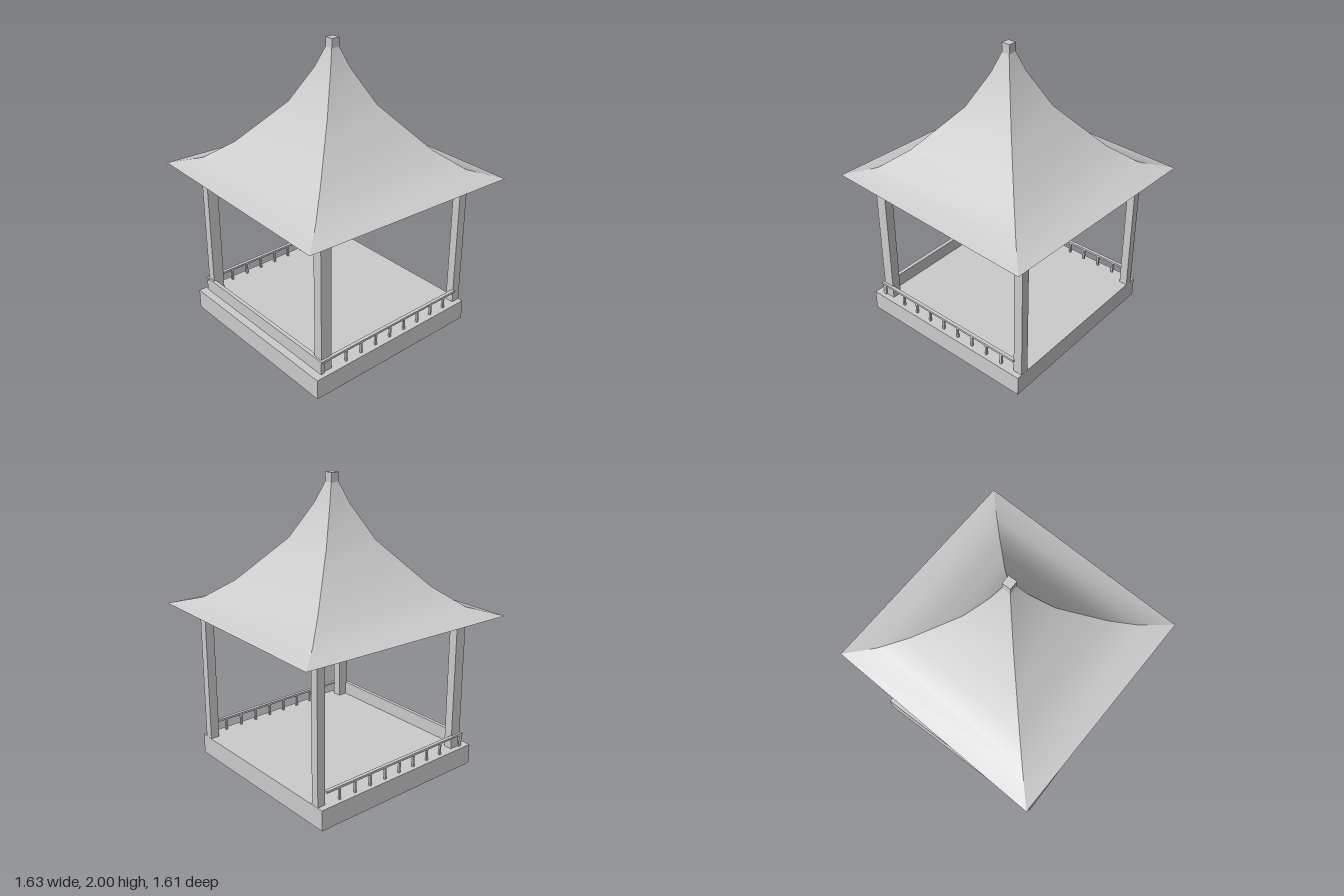
import * as THREE from 'three';

const material = new THREE.MeshStandardMaterial({ color: 0xcccccc });

// Box given by its minimum and maximum on each axis
function box(name, [x0, x1], [y0, y1], [z0, z1]) {
  const mesh = new THREE.Mesh(new THREE.BoxGeometry(x1 - x0, y1 - y0, z1 - z0), material);
  mesh.position.set((x0 + x1) / 2, (y0 + y1) / 2, (z0 + z1) / 2);
  mesh.name = name;
  return mesh;
}

// Eave corners (x, z), in order round the roof
const corners = [[-0.82, 0.755], [0.74, 0.8], [0.815, -0.76], [-0.74, -0.805]];
// Sweeping roof profile: scale of the eave outline, height
const profile = [[1, 1.1], [0.777, 1.152], [0.575, 1.28], [0.41, 1.43], [0.252, 1.575], [0.102, 1.805], [0.038, 1.94]];

// One smooth slope between two neighbouring corners
function roofSlope(a, b) {
  const positions = [], index = [];
  profile.forEach(([s, y], i) => {
    positions.push(a[0] * s, y, a[1] * s, b[0] * s, y, b[1] * s);
    if (i > 0) {
      const k = 2 * (i - 1);
      index.push(k, k + 1, k + 3, k, k + 3, k + 2);
    }
  });
  const geometry = new THREE.BufferGeometry();
  geometry.setAttribute('position', new THREE.Float32BufferAttribute(positions, 3));
  geometry.setIndex(index);
  geometry.computeVertexNormals();
  return new THREE.Mesh(geometry, material);
}

function createRoof() {
  const roof = new THREE.Group();
  roof.name = 'roof';
  corners.forEach((corner, i) => {
    const slope = roofSlope(corner, corners[(i + 1) % 4]);
    slope.name = 'roofSlope';
    roof.add(slope);
  });

  // Flat ceiling closing the roof from below
  const outline = new THREE.Shape(corners.map(([x, z]) => new THREE.Vector2(x, z)));
  const ceiling = new THREE.Mesh(new THREE.ShapeGeometry(outline).rotateX(Math.PI / 2), material);
  ceiling.position.y = 1.1;
  ceiling.name = 'ceiling';
  roof.add(ceiling);

  roof.add(box('finial', [-0.03, 0.03], [1.935, 2], [-0.03, 0.03]));
  return roof;
}

// Side railing: top rail on a row of thin balusters
function createRailing(side) {
  const railing = new THREE.Group();
  railing.name = side > 0 ? 'leftRailing' : 'rightRailing';
  const x = 0.62 * side;
  railing.add(box('rail', [x - 0.012, x + 0.012], [0.222, 0.237], [-0.57, 0.632]));
  for (let i = 0; i < 8; i++) {
    const z = 0.422 - i * 0.1265;
    railing.add(box('baluster', [x - 0.007, x + 0.007], [0.14, 0.224], [z - 0.007, z + 0.007]));
  }
  return railing;
}

export function createModel() {
  const model = new THREE.Group();
  model.name = 'pavilion';

  model.add(box('base', [-0.655, 0.655], [0, 0.14], [-0.63, 0.685]));
  model.add(box('frontWall', [-0.628, 0.625], [0.14, 0.235], [0.603, 0.63]));

  // Corner posts, deeper at the front
  model.add(box('frontRightPost', [-0.617, -0.557], [0.14, 1.1], [0.538, 0.618]));
  model.add(box('frontLeftPost', [0.55, 0.615], [0.14, 1.1], [0.538, 0.618]));
  model.add(box('backRightPost', [-0.615, -0.56], [0.14, 1.1], [-0.629, -0.572]));
  model.add(box('backLeftPost', [0.56, 0.618], [0.14, 1.1], [-0.629, -0.565]));

  model.add(createRailing(1), createRailing(-1), createRoof());
  return model;
}
